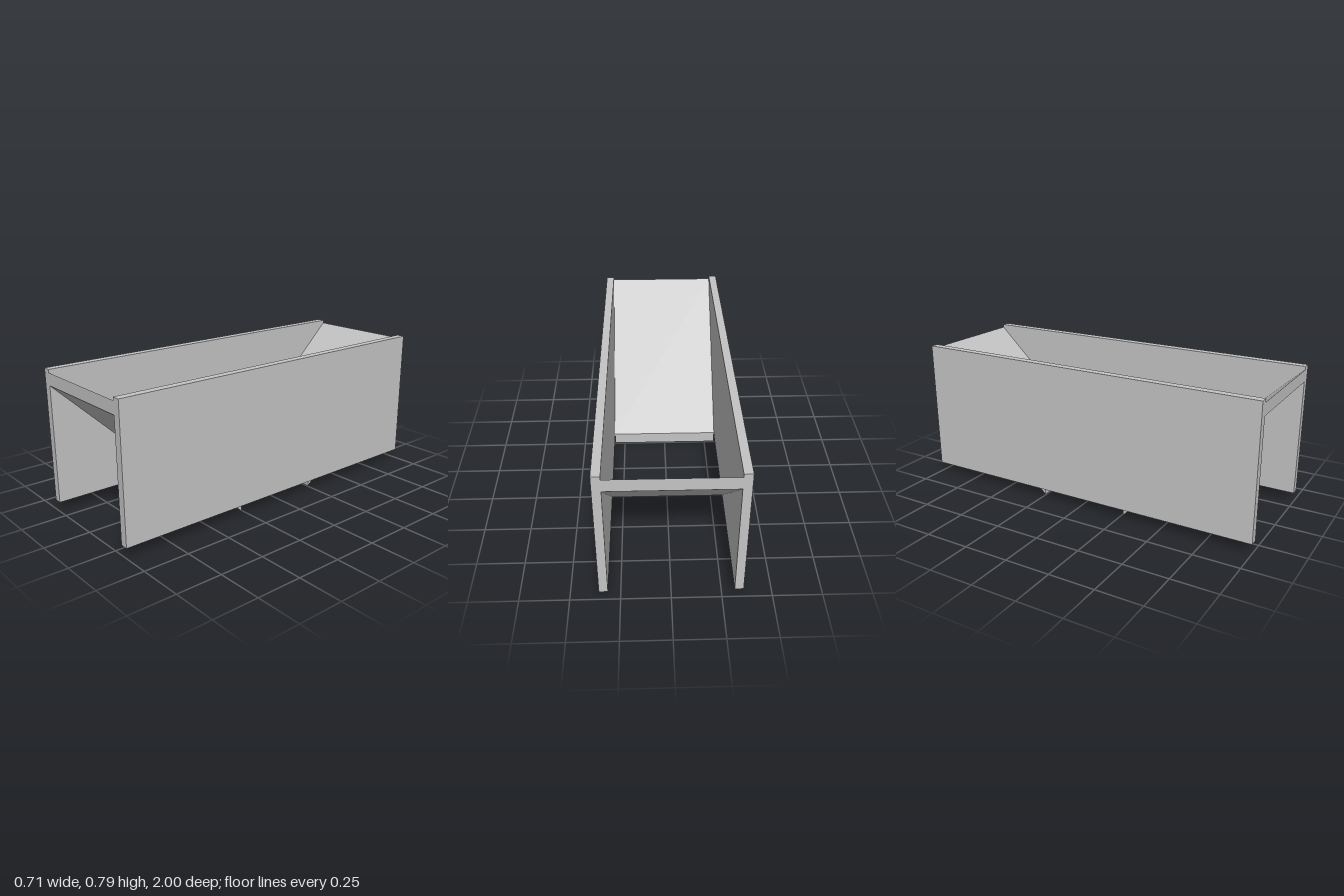
import * as THREE from 'three';

export function createModel() {
  const model = new THREE.Group();
  const grey = new THREE.MeshStandardMaterial({ color: 0xc4c4c4 });
  grey.name = 'light grey';

  // Sloped slab profile in (z, y), running from the low inner lip to the high outer end
  const profile = new THREE.Shape([
    [0.255, 0], [1, 0.703], [1, 0.771], [0.255, 0.068],
  ].map(([z, y]) => new THREE.Vector2(z, y)));
  const innerWidth = 0.62;
  const rampGeometry = new THREE.ExtrudeGeometry(profile, { depth: innerWidth, bevelEnabled: false });
  rampGeometry.translate(0, 0, -innerWidth / 2);
  const wallGeometry = new THREE.BoxGeometry(0.044, 0.733, 2);

  for (const side of [1, -1]) {
    // Long upright side walls
    const wall = new THREE.Mesh(wallGeometry, grey);
    wall.name = side > 0 ? 'leftWall' : 'rightWall';
    wall.position.set(side * 0.332, 0.4215, 0);
    model.add(wall);

    // Opposed ramps forming a hopper with an open slot between them
    const ramp = new THREE.Mesh(rampGeometry, grey);
    ramp.name = side > 0 ? 'frontRamp' : 'backRamp';
    ramp.rotation.y = -side * Math.PI / 2;
    model.add(ramp);
  }
  return model;
}
